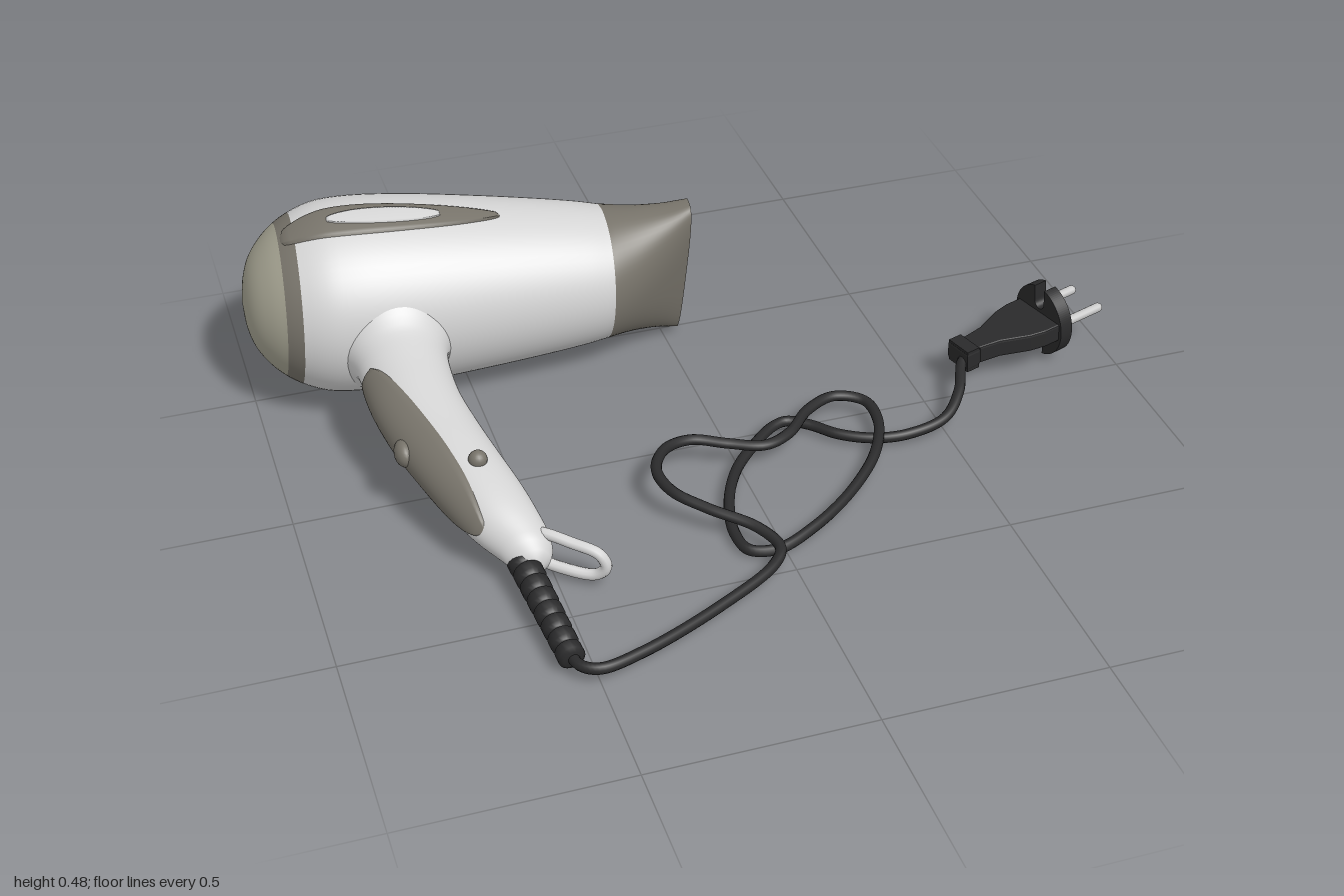
import * as THREE from 'three';
import { mergeVertices } from 'three/addons/utils/BufferGeometryUtils.js';

const paint = (name, color, side = THREE.FrontSide) => {
  const m = new THREE.MeshStandardMaterial({ color, side });
  m.name = name;
  return m;
};

// Smooth interpolation through rows of [station, centreA, centreB, radiusA, radiusB, squareness]
function sampleRows(rows, s) {
  let i = 0;
  while (i < rows.length - 2 && s > rows[i + 1][0]) i++;
  const slope = (k, c) => {
    const a = rows[Math.max(0, k - 1)], b = rows[Math.min(rows.length - 1, k + 1)];
    return (b[c] - a[c]) / (b[0] - a[0]);
  };
  const p = rows[i], q = rows[i + 1], h = q[0] - p[0], t = (s - p[0]) / h;
  const t2 = t * t, t3 = t2 * t;
  return p.map((v, c) => c === 0 ? s : (2 * t3 - 3 * t2 + 1) * v + (t3 - 2 * t2 + t) * h * slope(i, c)
    + (3 * t2 - 2 * t3) * q[c] + (t3 - t2) * h * slope(i + 1, c));
}

// Surface point at station s and angle a, raised by off
function surface(rows, axis) {
  return (s, a, off = 0) => {
    const [, ca, cb, ra, rb, e] = sampleRows(rows, s);
    const pw = v => Math.sign(v) * Math.pow(Math.abs(v), e);
    const u = (Math.max(ra, 0) + off) * pw(Math.cos(a)), v = cb + (Math.max(rb, 0) + off) * pw(Math.sin(a));
    return axis === 'x' ? [s, v, ca - u] : [ca + u, v, s];
  };
}

// Grid geometry from a point rule
function grid(n, m, point) {
  const pos = [], idx = [];
  for (let i = 0; i <= n; i++) for (let j = 0; j <= m; j++) pos.push(...point(i / n, j / m));
  for (let i = 0; i < n; i++) for (let j = 0; j < m; j++) {
    const a = i * (m + 1) + j, b = a + m + 1;
    idx.push(a, a + 1, b, a + 1, b + 1, b);
  }
  let g = new THREE.BufferGeometry();
  g.setAttribute('position', new THREE.Float32BufferAttribute(pos, 3));
  g.setIndex(idx);
  g = mergeVertices(g, 1e-5);
  g.computeVertexNormals();
  return g;
}
const loft = (surf, s0, s1, n, power = 1) =>
  grid(n, 64, (u, v) => surf(s0 + (s1 - s0) * Math.pow(u, power), v * Math.PI * 2));
// Raised inlay following a surface; its edge sinks into the surface
const inlay = (surf, s0, s1, angle, half, off) => grid(40, 14, (u, v) =>
  surf(s0 + (s1 - s0) * u, angle + (v * 2 - 1) * half(u), v === 0 || v === 1 || u === 0 || u === 1 ? -0.004 : off));

export function createModel() {
  const shell = paint('light grey shell', 0xd4d4d4);
  const trim = paint('taupe trim', 0x77736a, THREE.DoubleSide);
  const capMat = paint('beige cap', 0xa3a190);
  const black = paint('black rubber', 0x2a2a2b);
  const metal = paint('pin metal', 0xc6c6c6);

  const model = new THREE.Group();
  const add = (name, geo, mat, parent = model, pos = [0, 0, 0]) => {
    const mesh = new THREE.Mesh(geo, mat);
    mesh.name = name;
    mesh.position.set(...pos);
    parent.add(mesh);
    return mesh;
  };

  // Barrel, tilted as the dryer lies on its handle
  const barrel = new THREE.Group();
  barrel.name = 'barrel';
  barrel.position.set(-0.8, 0.25, -0.515);
  barrel.rotation.set(0.19, -0.07, -0.045);
  model.add(barrel);
  const round = [[-0.2, 0], [-0.195, 0.05], [-0.18, 0.1], [-0.15, 0.145], [-0.115, 0.178], [-0.08, 0.2], [-0.04, 0.217],
    [0, 0.226], [0.08, 0.229], [0.2, 0.222], [0.35, 0.206], [0.5, 0.187], [0.6, 0.172], [0.65, 0.162]]
    .map(([s, r]) => [s, 0, 0, r, r, 1]);
  const body = surface(round, 'x');
  add('rearCap', loft(body, -0.2, -0.115, 16, 2), capMat, barrel);
  add('rearRing', loft(body, -0.115, -0.08, 4), trim, barrel);
  add('barrelShell', loft(body, -0.08, 0.65, 40), shell, barrel);

  // Inlays on the top and underside
  const drop = u => 0.29 * Math.pow(u, 0.3) * Math.pow(1 - u, 0.62) * 1.45;
  const oval = u => 0.125 * Math.sqrt(Math.max(0, 4 * u * (1 - u)));
  for (const [side, angle] of [['top', Math.PI / 2], ['bottom', -Math.PI / 2]]) {
    add(side + 'Inlay', inlay(body, -0.115, 0.4, angle, drop, 0.006), trim, barrel);
    add(side + 'InlayWindow', inlay(body, -0.01, 0.26, angle, oval, 0.009), shell, barrel);
  }

  // Flattened nozzle with an inner wall and a grille
  const nozzleRows = [[0.65, 0, 0, 0.162, 0.162, 1], [0.72, 0, 0, 0.125, 0.167, 0.95],
    [0.79, 0, 0, 0.083, 0.177, 0.8], [0.85, 0, 0, 0.045, 0.193, 0.6]];
  add('nozzle', loft(surface(nozzleRows, 'x'), 0.65, 0.85, 14), trim, barrel);
  const backing = add('grilleBacking', new THREE.CircleGeometry(0.16, 40), capMat, barrel, [0.652, 0, 0]);
  backing.rotation.y = Math.PI / 2;
  for (let i = 1; i <= 4; i++) {
    const ring = add('grilleRing', new THREE.TorusGeometry(0.035 * i, 0.007, 6, 40), black, barrel, [0.66, 0, 0]);
    ring.rotation.y = Math.PI / 2;
  }
  for (let i = 0; i < 8; i++) {
    const spoke = add('grilleSpoke', new THREE.BoxGeometry(0.012, 0.29, 0.014), black, barrel, [0.66, 0, 0]);
    spoke.rotation.x = i * Math.PI / 8;
  }

  // Handle flaring into the barrel
  const handle = surface([
    [-0.42, -0.68, 0.22, 0.2, 0.17, 1], [-0.34, -0.68, 0.218, 0.155, 0.15, 1], [-0.3, -0.682, 0.21, 0.125, 0.118, 1],
    [-0.26, -0.685, 0.203, 0.108, 0.09, 1], [-0.2, -0.687, 0.196, 0.101, 0.078, 1], [-0.1, -0.683, 0.182, 0.098, 0.072, 1],
    [0, -0.665, 0.163, 0.097, 0.07, 1], [0.1, -0.64, 0.146, 0.093, 0.068, 1], [0.2, -0.61, 0.124, 0.087, 0.066, 1],
    [0.28, -0.585, 0.105, 0.077, 0.059, 1], [0.34, -0.56, 0.085, 0.06, 0.049, 1], [0.38, -0.55, 0.072, 0.04, 0.036, 1],
    [0.4, -0.545, 0.066, 0, 0, 1]], 'z');
  add('handle', loft(handle, -0.42, 0.4, 48), shell);
  const gripSpan = u => 0.98 * Math.pow(Math.max(0, 4 * u * (1 - u)), 0.45);
  add('handleGrip', inlay(handle, -0.2, 0.31, 2.75, gripSpan, 0.006), trim);
  const rocker = add('switch', new THREE.SphereGeometry(1, 20, 14), trim, model, [-0.748, 0.165, 0.04]);
  rocker.scale.set(0.022, 0.03, 0.035);
  add('coolButton', new THREE.SphereGeometry(0.021, 20, 14), trim, model, [-0.61, 0.2, 0.16]);

  // Tubes through points
  const tube = (pts, r, n, closed = false) => new THREE.TubeGeometry(
    new THREE.CatmullRomCurve3(pts.map(p => new THREE.Vector3(...p)), closed, 'centripetal'), n, r, 10, closed);
  add('hangingLoop', tube([[-0.53, 0.105, 0.33], [-0.46, 0.1, 0.385], [-0.415, 0.085, 0.418], [-0.403, 0.055, 0.425],
    [-0.42, 0.03, 0.413], [-0.47, 0.028, 0.38], [-0.53, 0.045, 0.33]], 0.013, 60, true), shell);

  // Ribbed strain relief
  const relief = [[0, 0]];
  for (let i = 0; i < 8; i++) {
    const y = i * 0.041, r = 0.034 - i * 0.0007;
    relief.push([r - 0.009, y], [r, y + 0.006], [r, y + 0.03], [r - 0.009, y + 0.036]);
  }
  relief.push([0, 0.325]);
  const from = new THREE.Vector3(-0.57, 0.064, 0.35), to = new THREE.Vector3(-0.545, 0.037, 0.67);
  const sleeve = add('strainRelief', new THREE.LatheGeometry(relief.map(p => new THREE.Vector2(...p)), 20), black, model, from.toArray());
  sleeve.quaternion.setFromUnitVectors(new THREE.Vector3(0, 1, 0), to.sub(from).normalize());

  // Cord with its loose tangle
  add('cord', tube([[-0.547, 0.038, 0.65], [-0.535, 0.038, 0.695], [-0.5, 0.038, 0.716], [-0.4, 0.035, 0.69], [-0.2, 0.026, 0.59],
    [-0.05, 0.025, 0.495], [-0.02, 0.032, 0.45], [-0.05, 0.045, 0.385], [-0.14, 0.064, 0.31], [-0.2, 0.078, 0.245],
    [-0.213, 0.085, 0.17], [-0.17, 0.082, 0.095], [-0.1, 0.072, 0.066], [-0.02, 0.06, 0.09], [0.06, 0.054, 0.115],
    [0.13, 0.052, 0.085], [0.2, 0.054, 0.015], [0.28, 0.05, -0.024], [0.345, 0.042, 0.005], [0.35, 0.035, 0.08],
    [0.3, 0.03, 0.19], [0.2, 0.022, 0.3], [0.08, 0.018, 0.39], [-0.02, 0.014, 0.434], [-0.08, 0.016, 0.42],
    [-0.093, 0.018, 0.36], [-0.07, 0.022, 0.25], [-0.02, 0.025, 0.15], [0.05, 0.026, 0.07], [0.12, 0.024, 0.01],
    [0.155, 0.022, 0], [0.2, 0.022, 0.03], [0.25, 0.022, 0.085], [0.32, 0.022, 0.125], [0.4, 0.025, 0.14],
    [0.5, 0.035, 0.12], [0.56, 0.058, 0.06], [0.6, 0.08, -0.02], [0.63, 0.086, -0.045]], 0.0125, 400), black);

  // Plug: flat flared grip, notched flange, two pins
  const plug = new THREE.Group();
  plug.name = 'plug';
  plug.position.set(0.855, 0.1, -0.112);
  plug.rotation.set(0, 0.28, 0.05);
  model.add(plug);
  const half = [[-0.265, 0.032], [-0.235, 0.032], [-0.225, 0.026], [-0.17, 0.034], [-0.1, 0.062], [-0.06, 0.07], [0, 0.07]];
  const gripShape = new THREE.Shape([...half.map(([x, z]) => new THREE.Vector2(x, -z)),
    ...half.slice().reverse().map(([x, z]) => new THREE.Vector2(x, z))]);
  const gripGeo = new THREE.ExtrudeGeometry(gripShape, { depth: 0.034, bevelSize: 0.004, bevelThickness: 0.006, bevelSegments: 2 });
  gripGeo.translate(0, 0, -0.017).rotateX(Math.PI / 2);
  add('plugGrip', gripGeo, black, plug);
  add('plugCollar', new THREE.BoxGeometry(0.035, 0.056, 0.07), black, plug, [-0.25, 0, 0]);

  const flange = new THREE.Shape();
  const R = 0.092, n = 0.2;
  flange.absarc(0, 0, R, -Math.PI / 2 + n, Math.PI / 2 - n, false);
  flange.absarc(0, 0.05, 0.018, 0, Math.PI, true);
  flange.absarc(0, 0, R, Math.PI / 2 + n, Math.PI * 1.5 - n, false);
  flange.absarc(0, -0.05, 0.018, Math.PI, 0, true);
  const flangeGeo = new THREE.ExtrudeGeometry(flange, { depth: 0.034, bevelEnabled: false, curveSegments: 24 });
  flangeGeo.rotateY(Math.PI / 2).scale(1, 1, 0.9);
  add('plugFlange', flangeGeo, black, plug, [-0.02, 0, 0]);
  for (const z of [-0.048, 0.048]) {
    const pin = add('plugPin', new THREE.CapsuleGeometry(0.0115, 0.13, 6, 14), metal, plug, [0.06, 0, z]);
    pin.rotation.z = Math.PI / 2;
  }
  return model;
}
